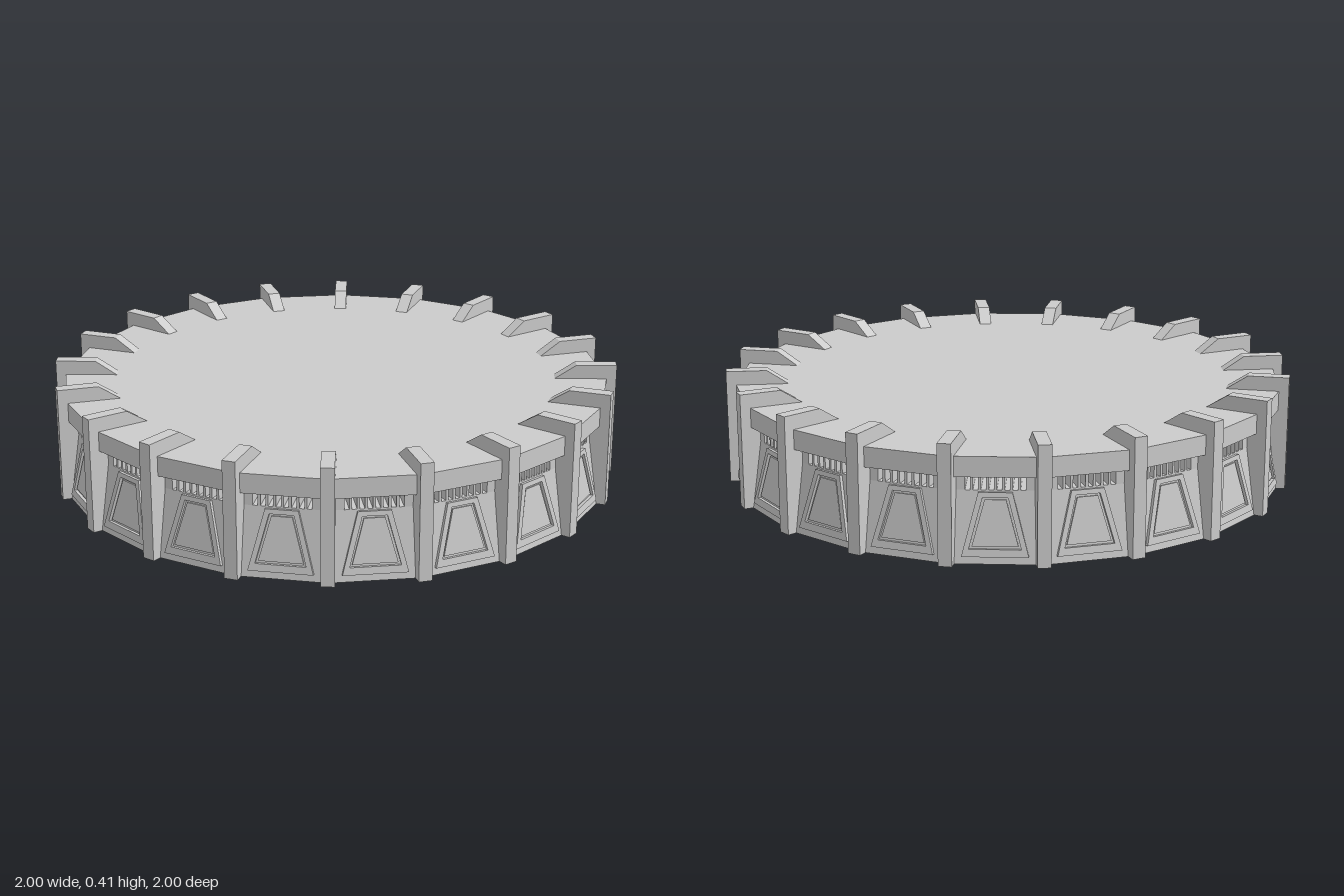
import * as THREE from 'three';

const SIDES = 20;
const STEP = (Math.PI * 2) / SIDES;
const TAN = Math.tan(STEP / 2);
const APO = Math.cos(STEP / 2); // apothem of a unit polygon

const WALL_TOP = 0.235, ROOF_LOW = 0.287, ROOF_TOP = 0.355;
const R_IN = 0.78, R_BASE = 0.972, R_NECK = 0.937, R_ROOF = 0.969;

const material = new THREE.MeshStandardMaterial({ color: 0xcccccc, flatShading: true });

const shapeOf = (pts) => new THREE.Shape(pts.map(([x, y]) => new THREE.Vector2(x, y)));
const extrude = (shape, depth) =>
  new THREE.ExtrudeGeometry(shape, { depth, bevelEnabled: false });

function add(parent, geometry, name) {
  const mesh = new THREE.Mesh(geometry, material);
  mesh.name = name;
  parent.add(mesh);
  return mesh;
}

// Upright trapezoid, symmetric about x = 0
const trapezoid = (low, high, y0, y1) => [[-low, y0], [low, y0], [high, y1], [-high, y1]];

export function createModel() {
  const model = new THREE.Group();
  model.name = 'ribbedRingBuilding';

  // Battered ring wall, hollow inside
  const profile = [[R_IN, 0], [R_BASE, 0], [R_NECK, WALL_TOP], [R_IN, WALL_TOP], [R_IN, 0]]
    .map(([r, y]) => new THREE.Vector2(r, y));
  add(model, new THREE.LatheGeometry(profile, SIDES), 'ringWall');

  // Flat roof slab with its overhanging band
  const roof = new THREE.CylinderGeometry(R_ROOF, R_ROOF, ROOF_TOP - ROOF_LOW, SIDES);
  add(model, roof, 'roofSlab').position.y = (ROOF_TOP + ROOF_LOW) / 2;

  // Rib: an outer post with a bracket running in over the roof
  const ribWidth = 0.045;
  const ribGeo = extrude(shapeOf([
    [0.9, 0], [1, 0], [1, 0.405], [0.857, 0.405], [0.782, ROOF_TOP],
    [0.782, ROOF_TOP - 0.02], [0.9, ROOF_TOP - 0.02],
  ]), ribWidth);
  ribGeo.translate(0, 0, -ribWidth / 2);
  ribGeo.rotateY(-Math.PI / 2);

  // Slot row: small teeth between two solid corner piers
  const inner = R_IN * APO, outer = R_NECK * APO;
  const slots = 8, pitch = 0.025, slotWidth = 0.016;
  const rowHalf = ((slots - 1) * pitch + slotWidth) / 2;
  const rowHeight = ROOF_LOW - WALL_TOP;
  const toothGeo = new THREE.BoxGeometry(pitch - slotWidth, rowHeight, outer - inner);
  const pierGeos = [1, -1].map((s) => {
    const geo = extrude(shapeOf([
      [s * rowHalf, -inner], [s * inner * TAN, -inner],
      [s * outer * TAN, -outer], [s * rowHalf, -outer],
    ]), rowHeight);
    geo.rotateX(-Math.PI / 2);
    return geo;
  });

  // Trapezoid panel: raised frame around a lower inset
  const frame = shapeOf(trapezoid(0.107, 0.054, 0.025, 0.232));
  frame.holes.push(shapeOf(trapezoid(0.083, 0.04, 0.05, 0.216)));
  const frameGeo = extrude(frame, 0.012);
  const insetGeo = extrude(shapeOf(trapezoid(0.074, 0.034, 0.058, 0.208)), 0.006);
  const tilt = Math.atan(((R_BASE - R_NECK) * APO) / WALL_TOP);

  for (let i = 0; i < SIDES; i++) {
    add(model, ribGeo, 'rib').rotation.y = i * STEP;

    const bay = new THREE.Group();
    bay.name = 'wallBay';
    bay.rotation.y = (i + 0.5) * STEP;
    model.add(bay);

    pierGeos.forEach((geo) => { add(bay, geo, 'cornerPier').position.y = WALL_TOP; });
    for (let k = 1; k < slots; k++) {
      add(bay, toothGeo, 'slotTooth').position.set(
        (k - slots / 2) * pitch, WALL_TOP + rowHeight / 2, (inner + outer) / 2);
    }

    const panel = new THREE.Group();
    panel.name = 'trapezoidPanel';
    panel.position.z = R_BASE * APO;
    panel.rotation.x = -tilt;
    add(panel, frameGeo, 'panelFrame');
    add(panel, insetGeo, 'panelInset');
    bay.add(panel);
  }
  return model;
}
